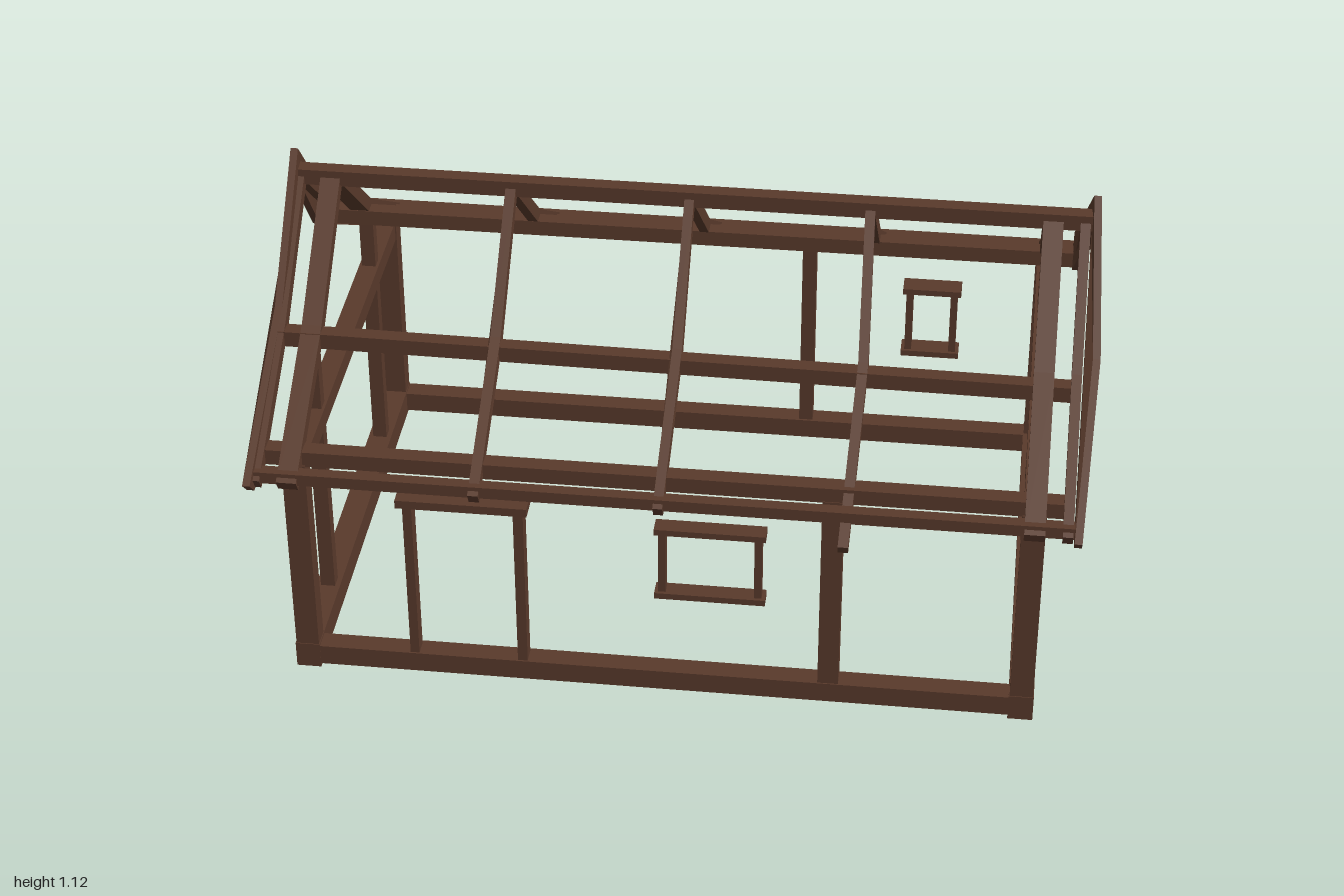
import * as THREE from 'three';

export function createModel() {
  const model = new THREE.Group();
  model.name = 'timberFrameHouse';
  const timber = new THREE.MeshStandardMaterial({ color: 0x593a2b });
  timber.name = 'dark brown timber';

  const add = (name, geometry, parent = model) => {
    const mesh = new THREE.Mesh(geometry, timber);
    mesh.name = name;
    parent.add(mesh);
    return mesh;
  };
  // Box given by its limits on each axis
  const beam = (name, x0, x1, y0, y1, z0, z1, parent) => {
    const g = new THREE.BoxGeometry(x1 - x0, y1 - y0, z1 - z0);
    g.translate((x0 + x1) / 2, (y0 + y1) / 2, (z0 + z1) / 2);
    return add(name, g, parent);
  };
  // One roof slope member: side profile of [z, y] points, swept across x and bowed sideways at the kink
  const slope = (name, profile, side, x, width, bow = 0) => {
    const shape = new THREE.Shape(profile.map(([z, y]) => new THREE.Vector2(z * side, y)));
    const g = new THREE.ExtrudeGeometry(shape, { depth: width, bevelEnabled: false });
    g.translate(0, 0, -width / 2);
    g.rotateY(-Math.PI / 2);
    const p = g.attributes.position;
    for (let i = 0; i < p.count; i++) {
      const t = Math.max(0, 1 - Math.abs(Math.abs(p.getZ(i)) - 0.29) / 0.29);
      p.setX(i, p.getX(i) + x + bow * t);
    }
    g.computeVertexNormals();
    return add(name, g);
  };

  // Ground sills
  for (const s of [-1, 1]) {
    beam('longSill', -0.9, 0.9, 0.01, 0.063, s * 0.555 - 0.026, s * 0.555 + 0.026);
    beam('endSill', s * 0.87 - 0.03, s * 0.87 + 0.03, 0, 0.068, -0.578, 0.582);
  }

  // Corner posts, gable posts and tie beams
  for (const sx of [-1, 1]) {
    const x = sx * 0.87;
    for (const sz of [-1, 1]) {
      beam('cornerPost', x - 0.028, x + 0.028, 0.05, 0.6, sz * 0.555 - 0.025, sz * 0.555 + 0.025);
      beam('gablePost', x - 0.018, x + 0.018, 0.06, 0.76, sz * 0.329 - 0.017, sz * 0.329 + 0.017);
    }
    beam('tieBeam', x - 0.025, x + 0.025, 0.555, 0.605, -0.575, 0.575);
  }

  // Intermediate wall posts
  beam('frontPost', 0.38, 0.43, 0.06, 0.6, 0.532, 0.578);
  beam('backPost', 0.237, 0.273, 0.06, 0.6, -0.575, -0.535);

  // Wall plates, eave battens, purlins and ridge
  for (const s of [-1, 1]) {
    beam('wallPlate', -0.945, 0.945, 0.597, 0.637, s * 0.555 - 0.021, s * 0.555 + 0.021);
    beam('eaveBatten', -0.96, 0.965, 0.585, 0.615, s * 0.622 - 0.015, s * 0.622 + 0.015);
    const purlin = beam('purlin', -0.955, 0.94, -0.02, 0.02, -0.019, 0.019);
    purlin.position.set(0, 0.778, s < 0 ? -0.286 : 0.305);
    purlin.rotation.set(0, s < 0 ? 0.012 : -0.003, -0.006);
  }
  beam('ridgeBeam', -0.96, 0.97, 1.037, 1.077, -0.019, 0.019);

  // Rafters
  const rafter = [[0, 1.075], [0.3, 0.815], [0.648, 0.598], [0.63, 0.568], [0.28, 0.785], [0, 1.032]];
  const longRafter = [[0, 1.075], [0.3, 0.81], [0.688, 0.555], [0.674, 0.53], [0.28, 0.782], [0, 1.035]];
  for (const side of [-1, 1]) {
    for (const s of [-1, 1]) {
      slope('endRafter', rafter, side, s * 0.872, 0.048);
      slope('outerRafter', rafter, side, s * 0.948, 0.024);
    }
    slope('rafter', rafter, side, -0.43, 0.025, 0.003);
    slope('rafter', rafter, side, 0.003, 0.023, 0.005);
    slope('rafter', side > 0 ? longRafter : rafter, side, 0.437, 0.024, side > 0 ? 0.012 : 0);
  }

  // Bowed, kinked barge boards
  const frontBarge = [[0, 1.125], [0.29, 0.855], [0.677, 0.602], [0.64, 0.565], [0.59, 0.565], [0.28, 0.755], [0, 1.025]];
  const backBarge = [[0, 1.125], [0.31, 0.835], [0.69, 0.59], [0.65, 0.55], [0.6, 0.55], [0.27, 0.75], [0.25, 0.77], [0, 1.025]];
  slope('bargeBoard', frontBarge, 1, -0.96, 0.018, 0.008);
  slope('bargeBoard', backBarge, -1, -0.96, 0.018, -0.031);
  slope('bargeBoard', frontBarge, 1, 0.972, 0.018, 0.019);
  slope('bargeBoard', backBarge, -1, 0.972, 0.018, -0.035);

  // Door frame
  const door = new THREE.Group();
  door.name = 'doorFrame';
  model.add(door);
  beam('doorLintel', -0.63, -0.315, 0.503, 0.525, 0.525, 0.588, door);
  beam('doorJamb', -0.615, -0.593, 0.06, 0.503, 0.537, 0.577, door);
  beam('doorJamb', -0.35, -0.326, 0.06, 0.503, 0.537, 0.577, door);

  // Window frames: two jambs between a longer lintel and sill
  const windowFrame = (name, x0, x1, y0, y1, z0, z1) => {
    const frame = new THREE.Group();
    frame.name = name;
    model.add(frame);
    const t = 0.016;
    beam('windowSill', x0, x1, y0, y0 + t, z0, z1, frame);
    beam('windowLintel', x0, x1, y1 - t, y1, z0, z1, frame);
    for (const x of [x0 + 0.018, x1 - 0.018]) {
      beam('windowJamb', x - 0.009, x + 0.009, y0 + t, y1 - t, z0 + 0.008, z1 - 0.008, frame);
    }
  };
  windowFrame('frontWindow', -0.015, 0.25, 0.282, 0.485, 0.533, 0.577);
  windowFrame('backWindow', 0.503, 0.655, 0.295, 0.502, -0.582, -0.526);

  return model;
}
